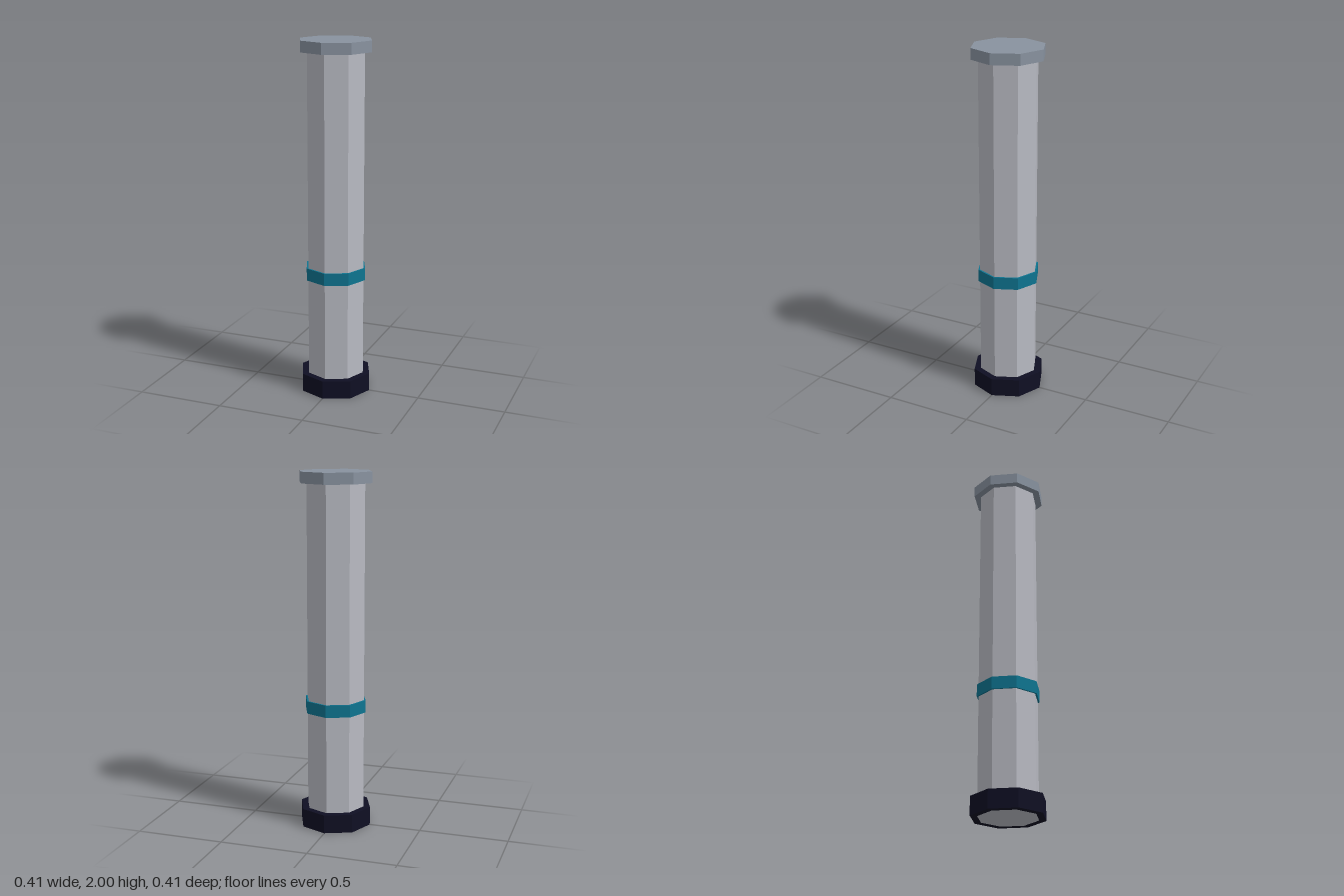
import * as THREE from 'three';

const SIDES = 8;

export function createModel() {
  const group = new THREE.Group();
  group.name = 'pillar';

  const paint = (name, color) => {
    const material = new THREE.MeshStandardMaterial({ color, flatShading: true });
    material.name = name;
    return material;
  };
  const add = (name, geometry, material) => {
    const mesh = new THREE.Mesh(geometry, material);
    mesh.name = name;
    group.add(mesh);
  };

  // Solid octagonal prism between two heights
  const prism = (radius, y0, y1) =>
    new THREE.CylinderGeometry(radius, radius, y1 - y0, SIDES).translate(0, (y0 + y1) / 2, 0);

  // Octagonal collar that wraps the shaft
  const collar = (inner, outer, y0, y1) =>
    new THREE.LatheGeometry(
      [[inner, y0], [outer, y0], [outer, y1], [inner, y1]].map(([x, y]) => new THREE.Vector2(x, y)),
      SIDES
    );

  const shaftRadius = 0.167;
  add('shaft', prism(shaftRadius, 0, 1.95), paint('light grey', 0xb8bac2));
  add('base', collar(shaftRadius, 0.206, 0, 0.105), paint('dark navy', 0x0f0f23));
  add('band', collar(shaftRadius, 0.177, 0.665, 0.735), paint('teal', 0x0e7490));
  add('cap', prism(0.206, 1.938, 2), paint('slate grey', 0x88929f));

  return group;
}
